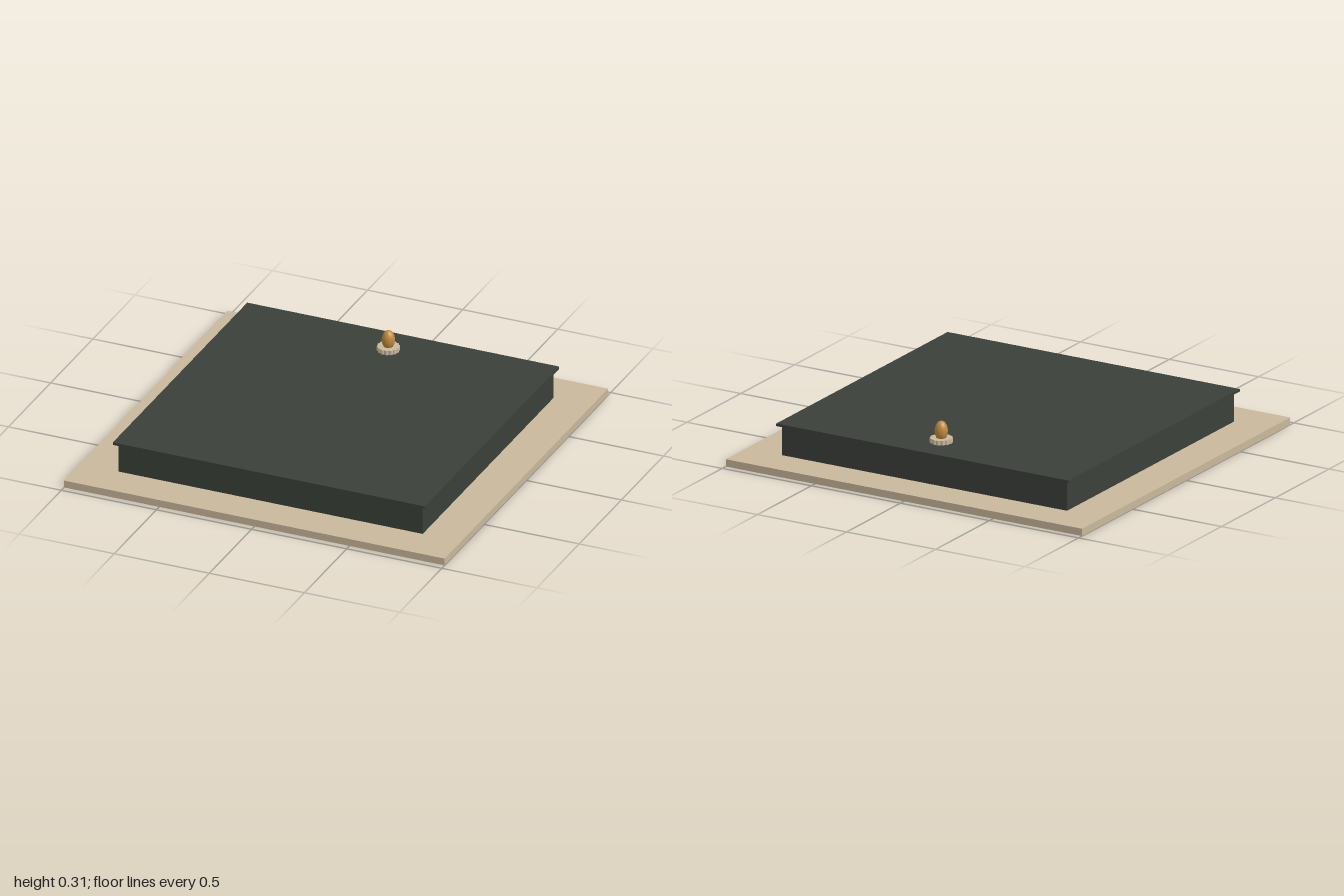
import * as THREE from 'three';

const stone = new THREE.MeshStandardMaterial({ color: 0xc9b89c });
stone.name = 'sandstone';
const slate = new THREE.MeshStandardMaterial({ color: 0x3a4039 });
slate.name = 'darkSlate';
const amber = new THREE.MeshStandardMaterial({ color: 0xc08a3e });
amber.name = 'amber';

const KNOB_Z = -0.62;

function add(group, name, geometry, material, y, z = 0) {
  const mesh = new THREE.Mesh(geometry, material);
  mesh.name = name;
  mesh.position.set(0, y, z);
  group.add(mesh);
}

// Box spanning bottom to top, centred on x and z
function slab(group, name, width, depth, bottom, top, material) {
  add(group, name, new THREE.BoxGeometry(width, top - bottom, depth), material, (bottom + top) / 2);
}

// Flat disc with a scalloped rim, lying on the xz plane
function scallopedDisc(radius, bite, lobes, height) {
  const points = [];
  const steps = lobes * 6;
  for (let i = 0; i < steps; i++) {
    const a = (i / steps) * Math.PI * 2;
    const r = radius - bite * (1 - Math.abs(Math.cos((a * lobes) / 2)));
    points.push(new THREE.Vector2(Math.cos(a) * r, Math.sin(a) * r));
  }
  const geometry = new THREE.ExtrudeGeometry(new THREE.Shape(points), { depth: height, bevelEnabled: false });
  return geometry.rotateX(-Math.PI / 2);
}

export function createModel() {
  const model = new THREE.Group();
  model.name = 'lowPlinth';

  // Stepped plinth: paving slab, body and overhanging lid
  slab(model, 'pavingSlab', 2, 1.934, 0, 0.037, stone);
  slab(model, 'body', 1.6, 1.55, 0.037, 0.187, slate);
  slab(model, 'lid', 1.64, 1.592, 0.187, 0.2, slate);

  // Scalloped seat under the finial
  add(model, 'finialSeat', scallopedDisc(0.056, 0.006, 14, 0.023), stone, 0.2, KNOB_Z);

  // Egg-shaped finial
  const egg = new THREE.SphereGeometry(1, 32, 20);
  egg.scale(0.032, 0.05, 0.032);
  add(model, 'finial', egg, amber, 0.257, KNOB_Z);

  return model;
}
